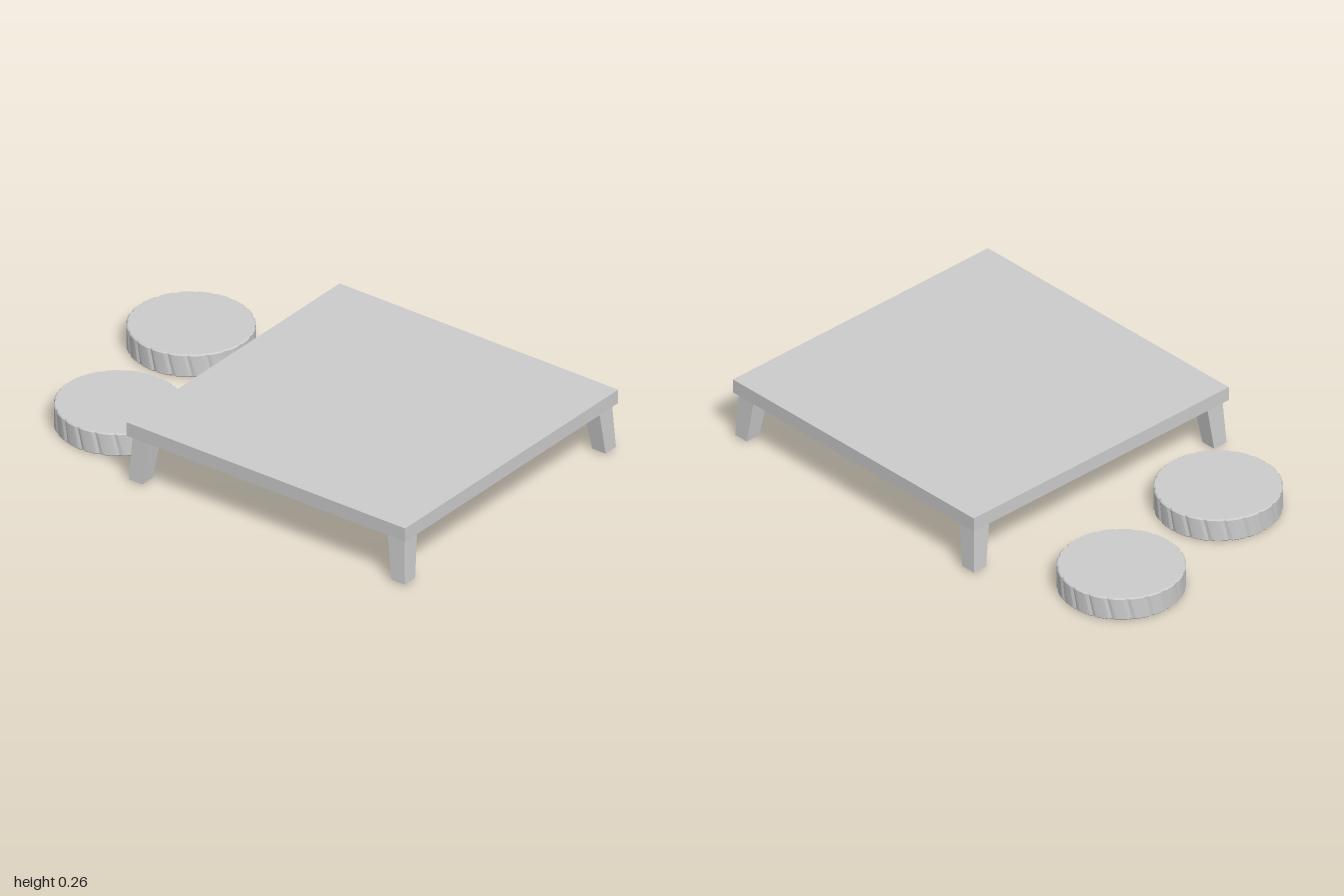
import * as THREE from 'three';
import { toCreasedNormals } from 'three/addons/utils/BufferGeometryUtils.js';

const material = new THREE.MeshStandardMaterial({ color: 0xcccccc });

function addMesh(parent, geometry, name, x = 0, y = 0, z = 0) {
  const mesh = new THREE.Mesh(geometry, material);
  mesh.name = name;
  mesh.position.set(x, y, z);
  parent.add(mesh);
  return mesh;
}

// Tapered leg for the corner (sx, sz), leaning outwards towards the floor
function legGeometry(sx, sz) {
  const geo = new THREE.BoxGeometry(1, 1, 1);
  const pos = geo.attributes.position;
  for (let i = 0; i < pos.count; i++) {
    const top = pos.getY(i) > 0;
    const [outer, inner] = top ? [0.645, 0.565] : [0.656, 0.592];
    const x = pos.getX(i) * sx > 0 ? outer : inner;
    const z = pos.getZ(i) * sz > 0 ? outer : inner;
    pos.setXYZ(i, sx * x, top ? 0.2 : 0.008, sz * z);
  }
  return toCreasedNormals(geo, 0.3);
}

// Round cushion: a disc whose rim carries slanted, narrow seams
function cushionGeometry() {
  const radius = 0.245, height = 0.098, pleats = 20, steps = 6, rim = 0.005;
  const profile = [
    [0, 0], [radius - rim, 0], [radius, rim],
    [radius, height - rim], [radius - rim, height], [0, height],
  ].map(([r, y]) => new THREE.Vector2(r, y));
  const geo = new THREE.LatheGeometry(profile, pleats * steps);
  const pos = geo.attributes.position;
  for (let i = 0; i < pos.count; i++) {
    const column = Math.floor(i / profile.length);
    const y = pos.getY(i);
    let r = Math.hypot(pos.getX(i), pos.getZ(i));
    if (r > 0.1 && column % steps === 0) r -= 0.005;
    const angle = (column / (pleats * steps)) * Math.PI * 2 + 0.09 * (0.5 - y / height);
    pos.setXYZ(i, r * Math.sin(angle), y, r * Math.cos(angle));
  }
  return toCreasedNormals(geo, 0.5);
}

export function createModel() {
  const model = new THREE.Group();
  model.name = 'lowTableWithCushions';

  // Low square table
  const table = new THREE.Group();
  table.name = 'table';
  table.position.z = 0.338;
  model.add(table);
  addMesh(table, new THREE.BoxGeometry(1.324, 0.058, 1.324), 'tableTop', 0, 0.228, 0);
  for (const sx of [-1, 1]) {
    for (const sz of [-1, 1]) {
      addMesh(table, legGeometry(sx, sz), (sz > 0 ? 'front' : 'back') + (sx > 0 ? 'Left' : 'Right') + 'Leg');
    }
  }

  // Two floor cushions behind the table
  const cushion = cushionGeometry();
  addMesh(model, cushion, 'rightCushion', -0.337, 0, -0.61);
  addMesh(model, cushion, 'leftCushion', 0.303, 0, -0.755);

  return model;
}
